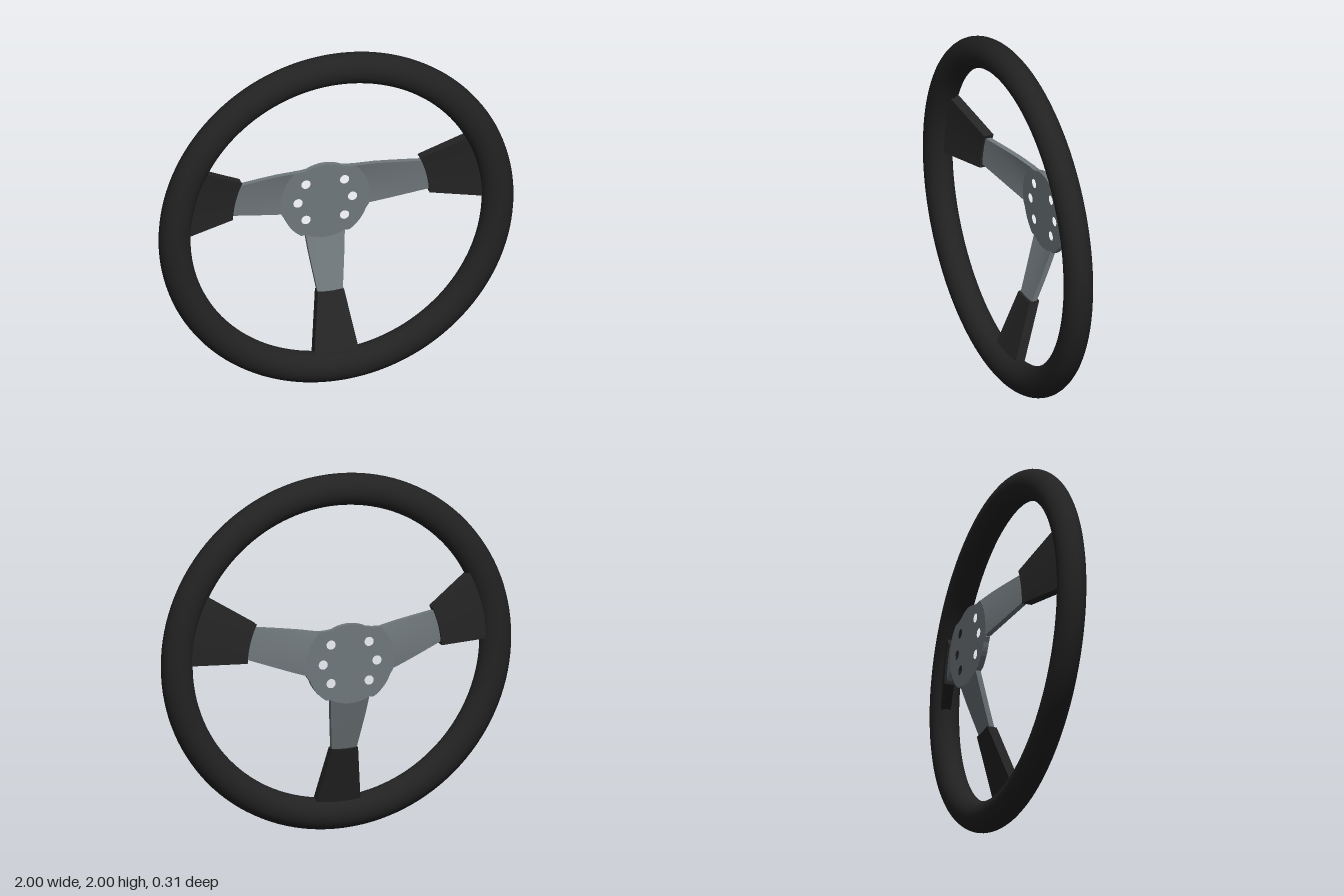
import * as THREE from 'three';

const CY = 1; // wheel centre height
const BACK = -0.157; // rear face of the hub
const SLOPE = 0.34; // how fast the spokes rise towards the rim
const THICK = 0.03;

// Slab between two straight edges (points relative to the wheel centre, inner then outer).
// Ends follow arcs round the centre; depth depends on the radius only.
// edgeA lies on the left when looking outward along the spoke.
function spokeSlab(edgeA, edgeB, rIn, rOut, foldR, zOffset, thickness) {
  const geo = new THREE.BoxGeometry(1, 1, 1, 10, 4, 1);
  const pos = geo.attributes.position;
  const at = (edge, t) => new THREE.Vector2(...edge[0]).lerp(new THREE.Vector2(...edge[1]), t);
  for (let i = 0; i < pos.count; i++) {
    const across = pos.getX(i) + 0.5, along = pos.getY(i) + 0.5;
    const r = rIn + (rOut - rIn) * along;
    const p = at(edgeA, along).lerp(at(edgeB, along), across).setLength(r);
    const z = BACK + SLOPE * (r - foldR) + zOffset + (pos.getZ(i) + 0.5) * thickness;
    pos.setXYZ(i, p.x, p.y + CY, z);
  }
  geo.computeVertexNormals();
  return geo;
}

function createHub() {
  // right half of the outline, clockwise from the top, then mirrored
  const polar = (r, deg) => {
    const a = THREE.MathUtils.degToRad(deg);
    return [r * Math.cos(a), r * Math.sin(a)];
  };
  const half = [];
  for (let d = 90; d >= 63; d -= 4.5) half.push(polar(0.215, d));
  half.push([0.135, 0.186], [0.175, 0.185]);
  for (let d = 40; d >= -14; d -= 6) half.push(polar(0.253, d));
  for (let d = -20; d >= -56; d -= 6) half.push(polar(0.245, d));
  for (let d = -62; d >= -90; d -= 7) half.push(polar(0.23, d));
  const mirrored = half.slice(1, -1).reverse().map(([x, y]) => [-x, y]);
  const shape = new THREE.Shape([...half, ...mirrored].map(([x, y]) => new THREE.Vector2(x, y)));

  // bolt holes
  for (const d of [-45, 0, 45, 135, 180, 225]) {
    const [x, y] = polar(0.154, d);
    shape.holes.push(new THREE.Path().absarc(x, y, 0.026, 0, Math.PI * 2, true));
  }
  const geo = new THREE.ExtrudeGeometry(shape, { depth: THICK, bevelEnabled: false, curveSegments: 16 });
  return geo.translate(0, CY, BACK);
}

export function createModel() {
  const metal = new THREE.MeshStandardMaterial({ color: 0x70787c });
  metal.name = 'grey metal';
  const grip = new THREE.MeshStandardMaterial({ color: 0x222222 });
  grip.name = 'black grip';
  const cover = new THREE.MeshStandardMaterial({ color: 0x252525 });
  cover.name = 'black spoke cover';

  const model = new THREE.Group();
  model.name = 'steeringWheel';
  const add = (name, geo, mat) => {
    const mesh = new THREE.Mesh(geo, mat);
    mesh.name = name;
    model.add(mesh);
  };

  // rim, slightly flattened from front to back
  const rim = new THREE.TorusGeometry(0.9125, 0.0875, 32, 128);
  rim.scale(1, 1, 0.9).translate(0, CY, 0.0785);
  add('rim', rim, grip);

  add('hub', createHub(), metal);

  // side spokes with their covers
  for (const s of [1, -1]) {
    const side = s > 0 ? 'left' : 'right';
    const order = (top, bottom) => (s > 0 ? [top, bottom] : [bottom, top])
      .map((edge) => edge.map(([x, y]) => [x * s, y]));
    const arm = order([[0.173, 0.185], [0.54, 0.217]], [[0.247, -0.055], [0.58, 0.047]]);
    add(side + 'Spoke', spokeSlab(...arm, 0.252, 0.582, 0.252, 0, THICK), metal);
    const sleeve = order([[0.505, 0.237], [0.77, 0.396]], [[0.558, 0.02], [0.866, 0.004]]);
    add(side + 'SpokeCover', spokeSlab(...sleeve, 0.556, 0.866, 0.252, -0.013, 0.056), cover);
  }

  // lower spoke with its cover
  const lower = [[[0.11, -0.2], [0.068, -0.54]], [[-0.11, -0.2], [-0.068, -0.54]]];
  add('lowerSpoke', spokeSlab(...lower, 0.229, 0.54, 0.229, 0, THICK), metal);
  const lowerSleeve = [[[0.074, -0.505], [0.131, -0.86]], [[-0.074, -0.505], [-0.131, -0.86]]];
  add('lowerSpokeCover', spokeSlab(...lowerSleeve, 0.512, 0.866, 0.229, -0.013, 0.056), cover);

  return model;
}
